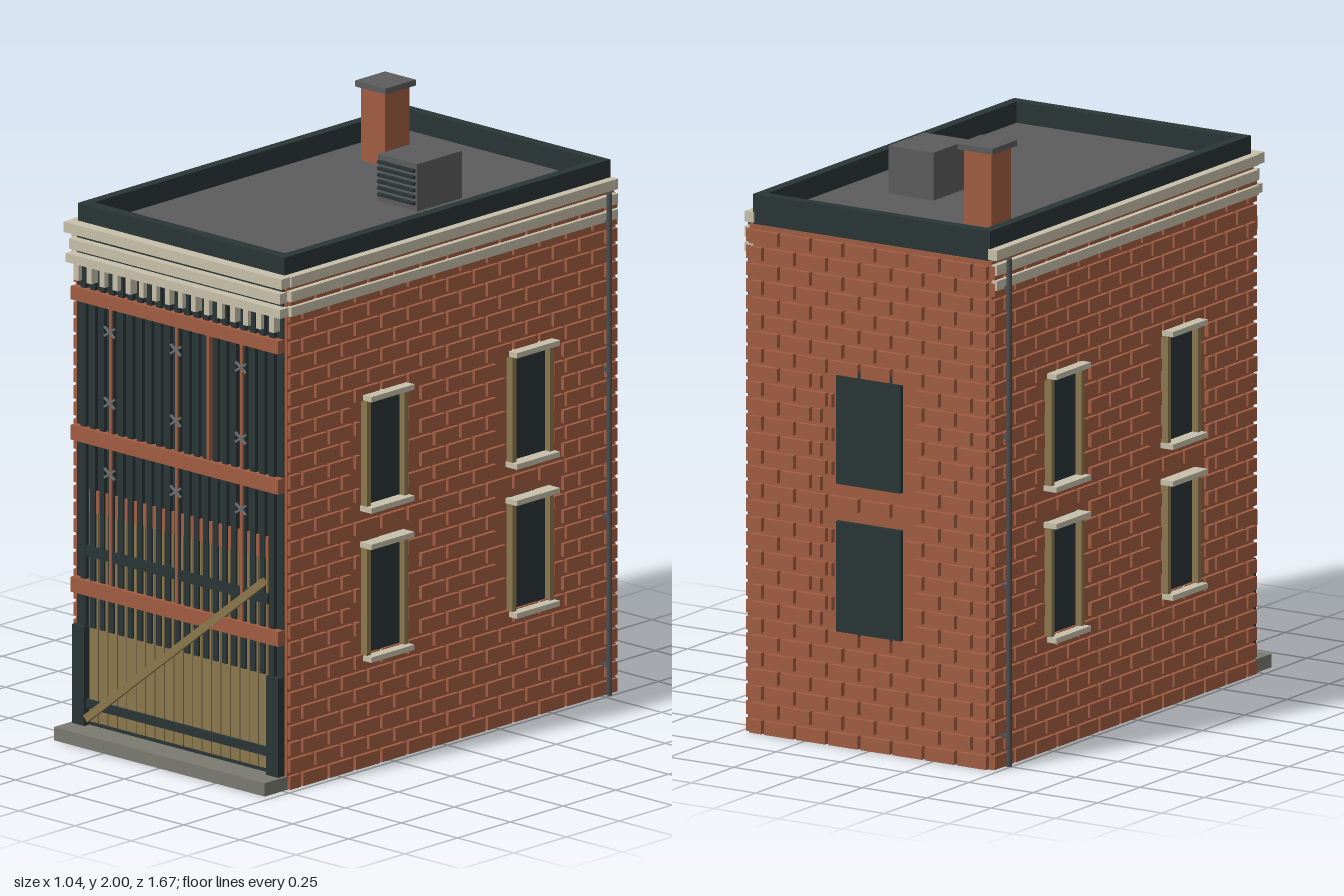
import * as THREE from 'three';
import { mergeGeometries } from 'three/addons/utils/BufferGeometryUtils.js';

const mat = (name, color) => new THREE.MeshStandardMaterial({ name, color });

export function createModel() {
  const M = {
    brick: mat('brick', 0xa05c41), trim: mat('cream trim', 0xc6bfa9),
    dark: mat('dark teal', 0x2a3536), wood: mat('tan wood', 0x8b774d),
    roof: mat('roof grey', 0x5c5c5c), metal: mat('metal grey', 0x4a4e52),
    stone: mat('step stone', 0x7b7a70), iron: mat('anchor iron', 0x6c7070),
  };
  const root = new THREE.Group();
  root.name = 'brickBuilding';

  // box geometry from its limits
  const boxGeo = (x0, x1, y0, y1, z0, z1) =>
    new THREE.BoxGeometry(x1 - x0, y1 - y0, z1 - z0)
      .translate((x0 + x1) / 2, (y0 + y1) / 2, (z0 + z1) / 2);
  const add = (name, material, geos) => {
    const mesh = new THREE.Mesh(Array.isArray(geos) ? mergeGeometries(geos) : geos, material);
    mesh.name = name;
    root.add(mesh);
    return mesh;
  };
  const box = (name, material, ...b) => add(name, material, boxGeo(...b));

  // core, foundation and roof
  box('wallCore', M.brick, -0.47, 0.47, 0.01, 1.7, -0.82, 0.73);
  box('foundation', M.stone, -0.47, 0.47, 0, 0.01, -0.82, 0.73);
  box('frontStep', M.stone, -0.47, 0.47, 0, 0.045, 0.73, 0.835);
  box('roofDeck', M.roof, -0.45, 0.45, 1.69, 1.73, -0.8, 0.72);
  add('parapet', M.dark, [
    boxGeo(-0.46, -0.425, 1.69, 1.8, -0.815, 0.73), boxGeo(0.425, 0.46, 1.69, 1.8, -0.815, 0.73),
    boxGeo(-0.425, 0.425, 1.69, 1.8, -0.815, -0.78), boxGeo(-0.425, 0.425, 1.69, 1.8, 0.69, 0.73),
  ]);

  // running-bond bricks along u, with stepped edges around the windows
  const floors = [[0.365, 0.765], [0.87, 1.265]];
  function brickRows(u0, u1, holes, put) {
    const rows = 30, pitch = 1.695 / rows, len = 0.125, gap = 0.012;
    for (let r = 0; r < rows; r++) {
      const y0 = r * pitch + 0.002, y1 = y0 + pitch - gap;
      const inHole = floors.some(([a, b]) => (y0 + y1) / 2 > a && (y0 + y1) / 2 < b);
      const margin = r % 2 ? 0.06 : 0.015;
      for (let s = u0 - (r % 2) * len / 2; s < u1; s += len) {
        let parts = [[Math.max(s, u0), Math.min(s + len - gap, u1)]];
        if (inHole) for (const [h0, h1] of holes) {
          const c0 = h0 - margin, c1 = h1 + margin;
          parts = parts.flatMap(([a, b]) => (b <= c0 || a >= c1) ? [[a, b]] : [[a, c0], [c1, b]]);
        }
        for (const [a, b] of parts) if (b - a > 0.008) put(a, b, y0, y1);
      }
    }
  }
  const windowZ = [0.28, -0.41];
  for (const s of [1, -1]) {
    const side = s > 0 ? 'left' : 'right';
    // box on a side wall, given its distances from the centre
    const sideBox = (d0, d1, y0, y1, z0, z1) =>
      boxGeo(Math.min(s * d0, s * d1), Math.max(s * d0, s * d1), y0, y1, z0, z1);
    const bricks = [], frames = [], panes = [], sills = [];
    brickRows(-0.822, 0.727, windowZ.map(z => [z - 0.1, z + 0.1]),
      (a, b, y0, y1) => bricks.push(sideBox(0.465, 0.484, y0, y1, a, b)));
    for (const z of windowZ) for (const [y0, y1] of floors) {
      for (const e of [-1, 1]) {
        frames.push(sideBox(0.465, 0.497, y0 + 0.01, y1 - 0.01, z + e * 0.089 - 0.009, z + e * 0.089 + 0.009));
      }
      panes.push(sideBox(0.465, 0.474, y0, y1, z - 0.085, z + 0.085));
      for (const y of [y0, y1 - 0.018]) sills.push(sideBox(0.465, 0.52, y, y + 0.018, z - 0.1025, z + 0.1025));
    }
    add(side + 'Bricks', M.brick, bricks);
    add(side + 'WindowFrames', M.wood, frames);
    add(side + 'WindowPanes', M.dark, panes);
    add(side + 'WindowSills', M.trim, sills);
    // cornice bands along the side
    add(side + 'Cornice', M.trim, [[1.605, 1.637], [1.655, 1.69], [1.705, 1.74]]
      .map(([y0, y1]) => sideBox(0.455, 0.49, y0, y1, -0.82, 0.73)));
    // downpipe with brackets
    const pipe = [new THREE.CylinderGeometry(0.009, 0.009, 1.7, 10).translate(s * 0.502, 0.855, -0.765)];
    for (const y of [0.1, 0.6, 1.1, 1.6]) pipe.push(sideBox(0.47, 0.503, y, y + 0.012, -0.773, -0.757));
    add(side + 'Downpipe', M.metal, pipe);
  }

  // rear wall
  const rear = [];
  brickRows(-0.46, 0.46, [[-0.125, 0.125]],
    (a, b, y0, y1) => rear.push(boxGeo(a, b, y0, y1, -0.838, -0.815)));
  add('rearBricks', M.brick, rear);
  add('rearWindowPanes', M.dark, [[0.38, 0.755], [0.88, 1.265]]
    .map(([a, b]) => boxGeo(-0.125, 0.125, a, b, -0.834, -0.815)));

  // front cornice and dentils
  add('frontCornice', M.trim, [
    boxGeo(-0.485, 0.485, 1.705, 1.74, 0.725, 0.772), boxGeo(-0.47, 0.47, 1.65, 1.685, 0.725, 0.763),
    boxGeo(-0.478, 0.478, 1.605, 1.635, 0.725, 0.77),
  ]);
  const dentils = [];
  for (let i = 0; i < 16; i++) {
    const x = -0.435 + i * 0.058;
    dentils.push(boxGeo(x - 0.011, x + 0.011, 1.55, 1.605, 0.73, 0.766));
  }
  add('dentils', M.trim, dentils);

  // front cladding: backing panel, vertical slats, belt courses
  box('frontPanel', M.dark, -0.46, 0.46, 0.045, 1.7, 0.728, 0.736);
  const slats = [], planks = [], header = [];
  for (let i = 0; i < 21; i++) {
    const x = -0.42 + i * 0.042;
    slats.push(boxGeo(x - 0.011, x + 0.011, 0.38, 1.6, 0.734, 0.75));
  }
  for (let i = 0; i < 19; i++) {
    const x = -0.378 + i * 0.042;
    planks.push(boxGeo(x - 0.019, x + 0.019, 0.06, 0.77, 0.734, 0.743));
    header.push(boxGeo(x - 0.021, x + 0.021, 0.77, 0.845, 0.734, 0.744));
  }
  add('frontSlats', M.dark, slats);
  add('doorPlanks', M.wood, planks);
  add('doorHeader', M.brick, header);
  add('beltCourses', M.brick, [[0.49, 0.54], [1.005, 1.055], [1.48, 1.525]]
    .map(([a, b]) => boxGeo(-0.463, 0.463, a, b, 0.73, 0.764)));
  add('frontMullions', M.brick, [[-0.295, 0.54], [0, 0.54], [0.14, 1.055], [0.29, 0.54]]
    .map(([x, y]) => boxGeo(x - 0.006, x + 0.006, y, 1.48, 0.735, 0.754)));

  // small crossed anchor plates
  const anchors = [];
  for (const x of [-0.295, 0, 0.29]) for (const y of [0.92, 1.16, 1.4]) for (const a of [0.6, -0.6]) {
    anchors.push(new THREE.BoxGeometry(0.055, 0.007, 0.006).rotateZ(a).translate(x, y, 0.757));
  }
  add('wallAnchors', M.iron, anchors);

  // door frame, rails and diagonal brace
  add('doorFrame', M.dark, [
    boxGeo(-0.46, -0.405, 0.045, 0.38, 0.73, 0.76), boxGeo(0.405, 0.46, 0.045, 0.38, 0.73, 0.76),
    boxGeo(-0.405, 0.405, 0.105, 0.135, 0.738, 0.752), boxGeo(-0.405, 0.405, 0.62, 0.655, 0.738, 0.752),
  ]);
  const brace = add('doorBrace', M.wood, new THREE.BoxGeometry(1.01, 0.026, 0.014));
  brace.position.set(0, 0.385, 0.758);
  brace.rotation.z = Math.atan2(0.63, 0.8);

  // chimney
  box('chimney', M.brick, -0.285, -0.178, 1.73, 1.98, -0.54, -0.425);
  box('chimneyCap', M.roof, -0.3, -0.163, 1.98, 2, -0.555, -0.412);

  // rooftop vent unit with louvres
  box('ventUnit', M.roof, 0.075, 0.25, 1.73, 1.89, -0.335, -0.122);
  const louvres = [];
  for (let i = 0; i < 6; i++) louvres.push(boxGeo(0.082, 0.243, 1.752 + i * 0.022, 1.762 + i * 0.022, -0.124, -0.11));
  add('ventLouvres', M.dark, louvres);
  return root;
}
